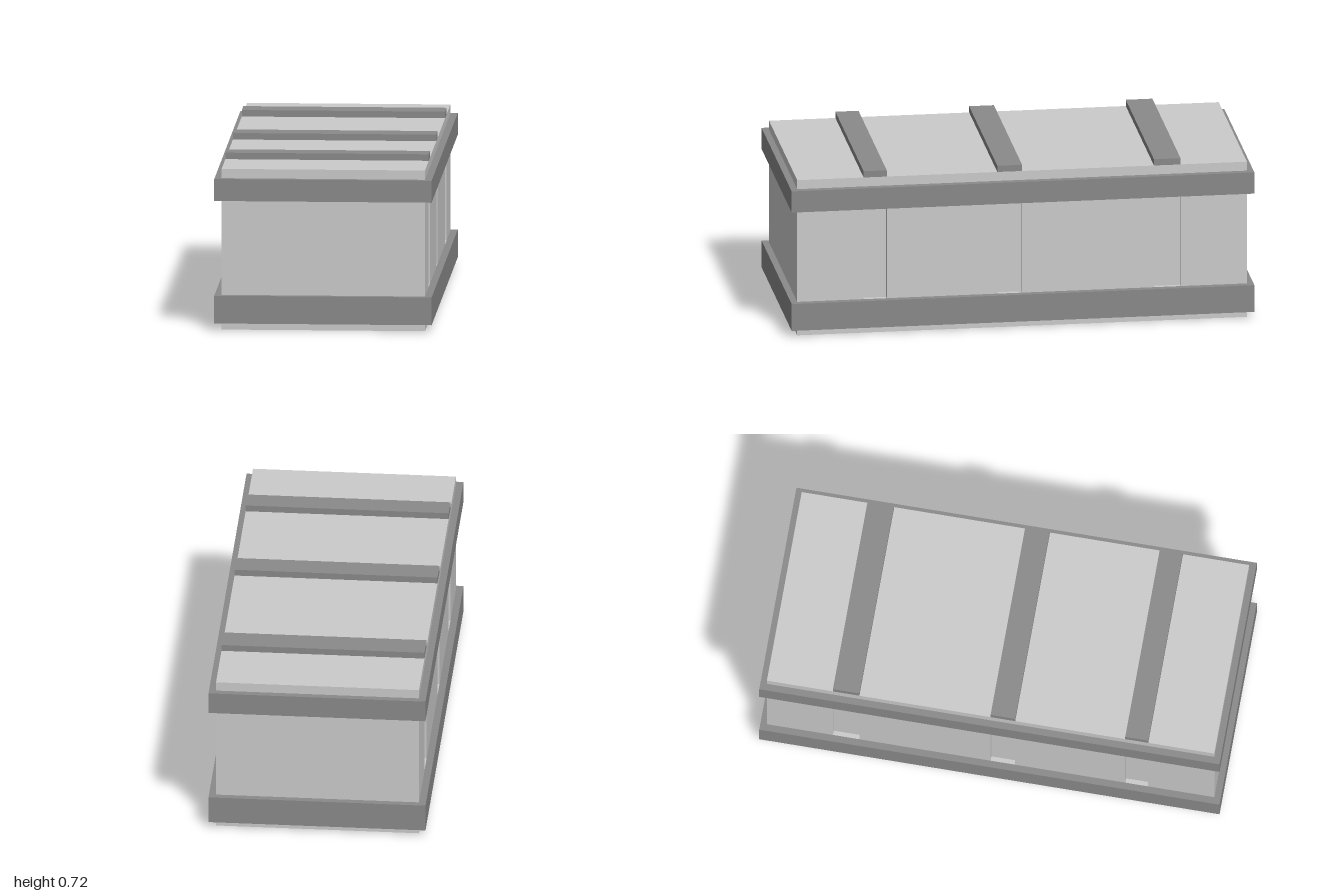
import * as THREE from 'three';

const HALF_X = 0.436, HALF_Z = 0.972;     // body half sizes
const BAND_X = 0.466, BAND_Z = 1;         // band half sizes
const GROOVE = 0.02;                      // depth of the side grooves
const BODY_TOP = 0.695;
const LOWER = [0.03, 0.15], UPPER = [0.56, 0.655];
// z ranges shared by the lid slats and the side grooves, back to front
const STATIONS = [[-0.685, -0.57], [0, 0.107], [0.585, 0.685]];

export function createModel() {
  const group = new THREE.Group();
  const wood = new THREE.MeshStandardMaterial({ color: 0xcccccc, flatShading: true });
  const trim = new THREE.MeshStandardMaterial({ color: 0x8a8a8a, flatShading: true });

  const add = (name, geometry, material) => {
    const mesh = new THREE.Mesh(geometry, material);
    mesh.name = name;
    group.add(mesh);
  };

  const box = (name, halfX, y0, y1, z0, z1, material) => add(name,
    new THREE.BoxGeometry(2 * halfX, y1 - y0, z1 - z0).translate(0, (y0 + y1) / 2, (z0 + z1) / 2),
    material);

  // Raises a floor plan, drawn as (x, -z), from y0 to y1
  const raise = (shape, y0, y1) =>
    new THREE.ExtrudeGeometry(shape, { depth: y1 - y0, bevelEnabled: false })
      .rotateX(-Math.PI / 2).translate(0, y0, 0);

  const rectangle = (x, z) => [[-x, -z], [x, -z], [x, z], [-x, z]].map(p => new THREE.Vector2(...p));

  // Crate base and lid, plain blocks behind the bands
  box('base', HALF_X, 0, LOWER[1], -HALF_Z, HALF_Z, wood);
  box('lid', HALF_X, UPPER[0], BODY_TOP, -HALF_Z, HALF_Z, wood);

  // Walls between the bands, with upright grooves along both long sides
  const side = [[HALF_X, -HALF_Z]];
  for (const [z0, z1] of STATIONS) {
    side.push([HALF_X, z0], [HALF_X - GROOVE, z0], [HALF_X - GROOVE, z1], [HALF_X, z1]);
  }
  side.push([HALF_X, HALF_Z]);
  const plan = [...side, ...side.map(([x, z]) => [-x, z]).reverse()];
  const walls = new THREE.Shape(plan.map(([x, z]) => new THREE.Vector2(x, -z)));
  add('walls', raise(walls, LOWER[1], UPPER[0]), wood);

  // Bands wrapped around the crate
  for (const [name, [y0, y1]] of [['lowerBand', LOWER], ['upperBand', UPPER]]) {
    const ring = new THREE.Shape(rectangle(BAND_X, BAND_Z));
    ring.holes.push(new THREE.Path(rectangle(HALF_X, HALF_Z)));
    add(name, raise(ring, y0, y1), trim);
  }

  // Slats across the lid
  STATIONS.forEach(([z0, z1], i) =>
    box(`lidSlat${i + 1}`, HALF_X, BODY_TOP, 0.723, z0, z1, trim));

  return group;
}
